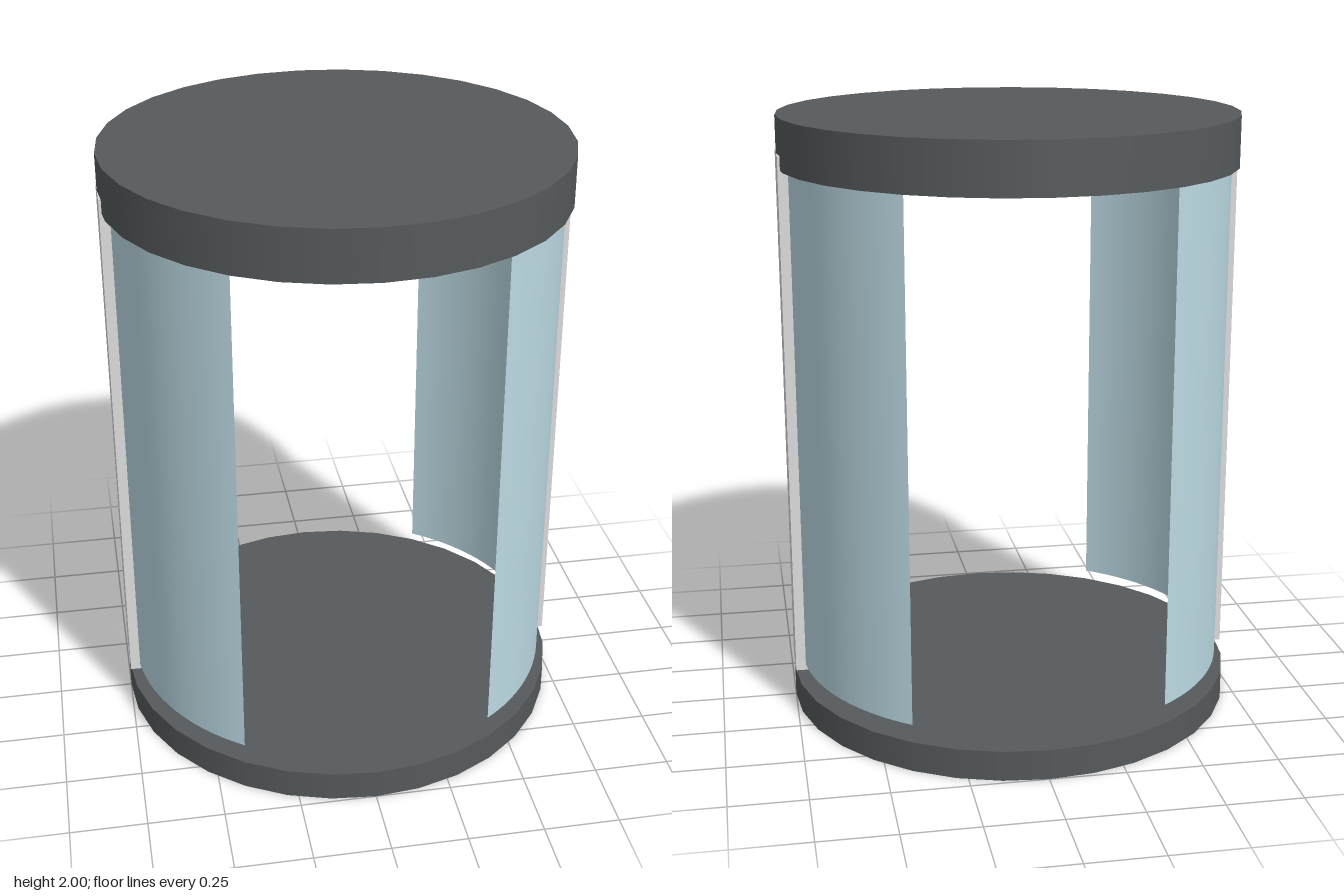
import * as THREE from 'three';

export function createModel() {
  const model = new THREE.Group();
  const mat = (name, color, side = THREE.FrontSide) => {
    const m = new THREE.MeshStandardMaterial({ color, side });
    m.name = name;
    return m;
  };
  const darkMetal = mat('dark grey', 0x565a5c);
  const postGrey = mat('light grey', 0xdedede);
  const glass = mat('pale blue glass', 0xbddbe4, THREE.DoubleSide);

  const add = (name, geometry, material, x, y) => {
    const mesh = new THREE.Mesh(geometry, material);
    mesh.name = name;
    mesh.position.set(x, y, 0);
    model.add(mesh);
  };

  // Floor and roof discs
  const disc = (name, bottom, top) =>
    add(name, new THREE.CylinderGeometry(0.75, 0.75, top - bottom, 32), darkMetal, 0, (bottom + top) / 2);
  disc('floor', 0, 0.1);
  disc('roof', 1.835, 2);

  // Curved glass walls and upright posts, one on each side
  const arc = THREE.MathUtils.degToRad(110.5);
  for (const [label, side] of [['left', 1], ['right', -1]]) {
    const wall = new THREE.CylinderGeometry(0.722, 0.722, 1.705, 32, 1, true, side * Math.PI / 2 - arc / 2, arc);
    add(label + 'GlassWall', wall, glass, 0, 0.9975);
    add(label + 'Post', new THREE.BoxGeometry(0.095, 1.755, 0.165), postGrey, side * 0.7025, 1.0025);
  }
  return model;
}
